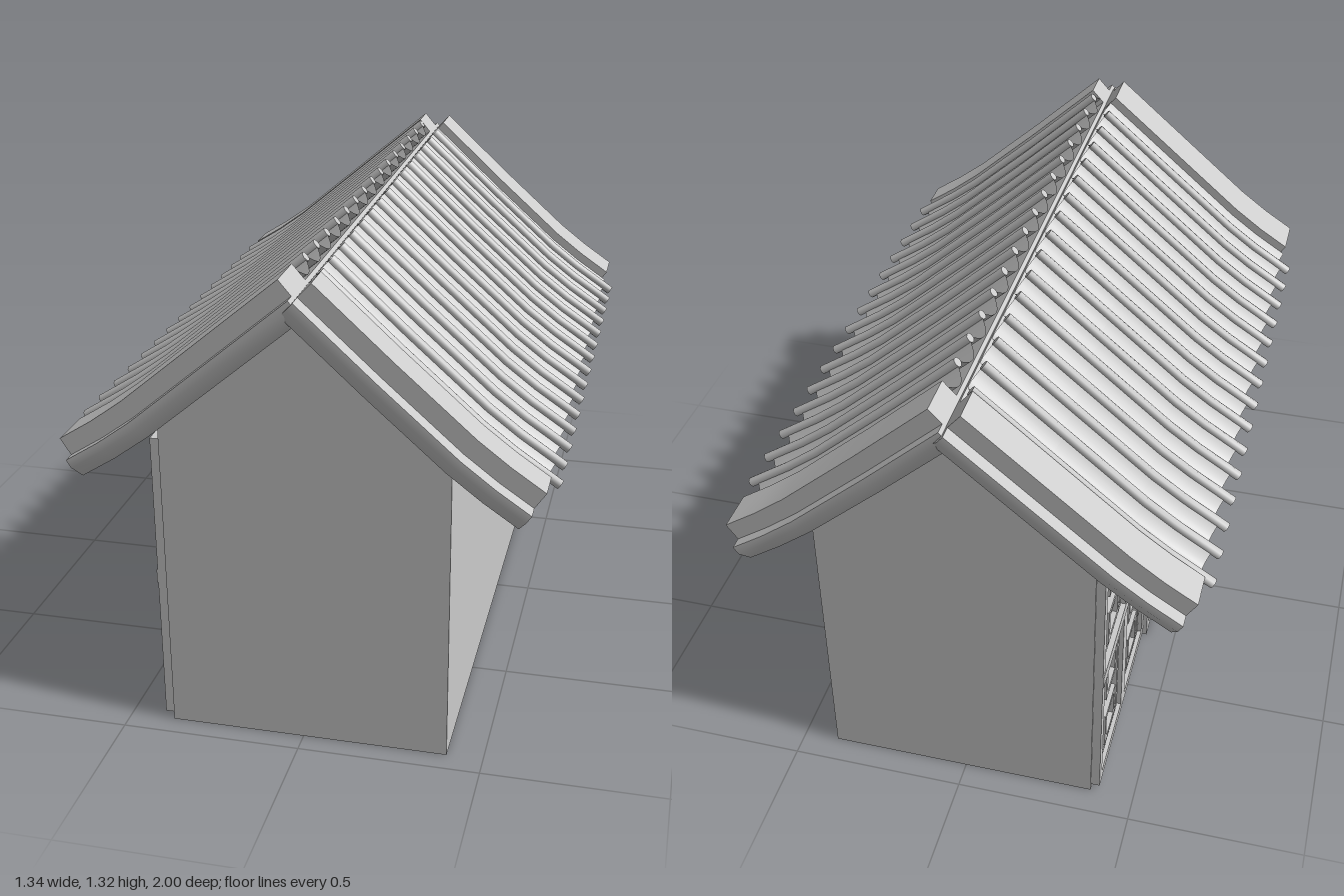
import * as THREE from 'three';
import { toCreasedNormals } from 'three/addons/utils/BufferGeometryUtils.js';

const grey = new THREE.MeshStandardMaterial({ color: 0xcccccc });
const greyThin = new THREE.MeshStandardMaterial({ color: 0xcccccc, side: THREE.DoubleSide });

function add(parent, name, geometry, material = grey) {
  const mesh = new THREE.Mesh(geometry, material);
  mesh.name = name;
  parent.add(mesh);
  return mesh;
}

// Sweeps a cross-section of [height above slope, z] points down a roof profile of [x, y] points
function sweep(profile, side, section, closed = true) {
  const pos = [], index = [], n = section.length;
  profile.forEach(([x, y], i) => {
    const a = profile[Math.max(i - 1, 0)], b = profile[Math.min(i + 1, profile.length - 1)];
    const tx = b[0] - a[0], ty = b[1] - a[1], len = Math.hypot(tx, ty);
    const nx = -ty / len * side, ny = tx / len * side;
    for (const [d, z] of section) pos.push(x + nx * d, y + ny * d, z);
  });
  const tri = (a, b, c) => (side > 0 ? index.push(a, b, c) : index.push(a, c, b));
  const edges = closed ? n : n - 1;
  for (let i = 0; i < profile.length - 1; i++) {
    for (let j = 0; j < edges; j++) {
      const k = (j + 1) % n, p = i * n, q = p + n;
      tri(p + j, p + k, q + j);
      tri(p + k, q + k, q + j);
    }
  }
  if (closed) {
    const e = (profile.length - 1) * n;
    for (let j = 1; j < n - 1; j++) {
      tri(0, j + 1, j);
      tri(e, e + j, e + j + 1);
    }
  }
  const g = new THREE.BufferGeometry();
  g.setAttribute('position', new THREE.Float32BufferAttribute(pos, 3));
  g.setIndex(index);
  return toCreasedNormals(g, 0.8);
}

// Continues a profile past the eave
function extended(profile, amount) {
  const [a, b] = profile.slice(-2);
  const len = Math.hypot(b[0] - a[0], b[1] - a[1]);
  return [...profile.slice(0, -1), [b[0] + (b[0] - a[0]) / len * amount, b[1] + (b[1] - a[1]) / len * amount]];
}

const rect = (d0, d1, z0, z1) => [[d0, z0], [d1, z0], [d1, z1], [d0, z1]];

// One slope: base slab, two flat verge strips, concave tile channels and round ribs
function roofSlope({ name, side, profile, slab, strips, firstRib }) {
  const roof = new THREE.Group();
  roof.name = name;
  const [z0, z1] = slab;
  add(roof, 'roofSlab', sweep(profile, side,
    [[-0.062, z0 + 0.025], [-0.025, z0], [0, z0], [0, z1], [-0.025, z1], [-0.062, z1 - 0.025]]));
  for (const [a, b] of strips) add(roof, 'vergeStrip', sweep(profile, side, rect(-0.01, 0.053, a, b)));

  const pitch = 0.1115, ribs = 15, steps = 8;
  const from = strips[0][1], to = strips[1][0];
  const channels = [];
  for (let k = -1; k < ribs; k++) {
    for (let s = 0; s < steps; s++) {
      const z = firstRib + (k + s / steps) * pitch;
      if (z >= from && z <= to) channels.push([0.043 - 0.04 * Math.sin(Math.PI * s / steps), z]);
    }
  }
  add(roof, 'tileChannels', sweep(extended(profile, 0.01), side, channels, false), greyThin);

  const ribPath = extended(profile, 0.035);
  for (let k = 0; k < ribs; k++) {
    const ring = [];
    for (let j = 0; j < 8; j++) {
      const a = j * Math.PI / 4;
      ring.push([0.038 + 0.014 * Math.cos(a), firstRib + k * pitch + 0.014 * Math.sin(a)]);
    }
    add(roof, 'tileRib', sweep(ribPath, side, ring));
  }
  return roof;
}

const WALL = -0.375;

// Box standing proud of the facade wall
function panel(parent, name, z0, z1, y0, y1, depth) {
  const mesh = add(parent, name, new THREE.BoxGeometry(depth + 0.01, y1 - y0, z1 - z0));
  mesh.position.set(WALL - depth / 2 + 0.005, (y0 + y1) / 2, (z0 + z1) / 2);
}

function frame(parent, name, z0, z1, y0, y1, w, depth) {
  panel(parent, name, z0, z0 + w, y0, y1, depth);
  panel(parent, name, z1 - w, z1, y0, y1, depth);
  panel(parent, name, z0 + w, z1 - w, y0, y0 + w, depth);
  panel(parent, name, z0 + w, z1 - w, y1 - w, y1, depth);
}

// Lattice window: two columns, two rows, a pair of square panels in each cell
function latticeWindow(z0, z1) {
  const g = new THREE.Group();
  g.name = 'latticeWindow';
  const y0 = 0.02, y1 = 0.86, mid = (z0 + z1) / 2, rail = 0.45;
  frame(g, 'windowFrame', z0, z1, y0, y1, 0.03, 0.025);
  panel(g, 'windowMullion', mid - 0.025, mid + 0.025, y0, y1, 0.025);
  panel(g, 'windowRail', z0, z1, rail - 0.02, rail + 0.02, 0.028);
  for (const [a, b] of [[z0 + 0.03, mid - 0.025], [mid + 0.025, z1 - 0.03]]) {
    for (const [c, d] of [[y0 + 0.03, rail - 0.02], [rail + 0.02, y1 - 0.03]]) {
      frame(g, 'sash', a + 0.012, b - 0.012, c + 0.012, d - 0.012, 0.018, 0.015);
      const zc = (a + b) / 2, h = (d - c) / 2;
      for (let r = 0; r < 2; r++) {
        const yc = c + h * (r + 0.5);
        frame(g, 'latticeSquare', zc - 0.065, zc + 0.065, yc - 0.06, yc + 0.06, 0.018, 0.018);
        panel(g, 'latticeBar', zc - 0.1, zc + 0.1, yc - 0.007, yc + 0.007, 0.01);
      }
    }
  }
  return g;
}

function door() {
  const g = new THREE.Group();
  g.name = 'door';
  const z0 = -0.275, z1 = 0.3, zc = (z0 + z1) / 2;
  frame(g, 'doorFrame', z0, z1, 0, 0.87, 0.03, 0.036);
  panel(g, 'doorLeaf', z0 + 0.03, zc - 0.002, 0.03, 0.84, 0.016);
  panel(g, 'doorLeaf', zc + 0.002, z1 - 0.03, 0.03, 0.84, 0.016);
  panel(g, 'doorRail', z0 + 0.03, z1 - 0.03, 0.19, 0.23, 0.024);
  for (const s of [-1, 1]) {
    const ring = add(g, 'doorKnocker', new THREE.TorusGeometry(0.042, 0.009, 6, 8));
    ring.rotation.y = Math.PI / 2;
    ring.position.set(WALL - 0.02, 0.53, zc + s * 0.068);
  }
  return g;
}

export function createModel() {
  const model = new THREE.Group();
  model.name = 'tiledHouse';

  // Gabled body
  const outline = new THREE.Shape([[WALL, 0], [0.4, 0], [0.4, 0.87], [0.005, 1.235], [WALL, 0.9]]
    .map(([x, y]) => new THREE.Vector2(x, y)));
  const body = add(model, 'walls', new THREE.ExtrudeGeometry(outline, { depth: 1.865, bevelEnabled: false }));
  body.position.z = -0.925;

  // Facade
  model.add(door(), latticeWindow(-0.92, -0.285), latticeWindow(0.31, 0.935));

  // Roof
  model.add(
    roofSlope({
      name: 'leftRoof', side: 1, profile: [[0.012, 1.284], [0.22, 1.093], [0.43, 0.907], [0.52, 0.838], [0.61, 0.777]],
      slab: [-0.985, 1], strips: [[-0.95, -0.83], [0.86, 0.955]], firstRib: -0.73,
    }),
    roofSlope({
      name: 'rightRoof', side: -1, profile: [[-0.004, 1.284], [-0.22, 1.102], [-0.435, 0.921], [-0.525, 0.855], [-0.616, 0.797]],
      slab: [-1, 0.985], strips: [[-0.96, -0.855], [0.82, 0.95]], firstRib: -0.84,
    }),
  );
  return model;
}
